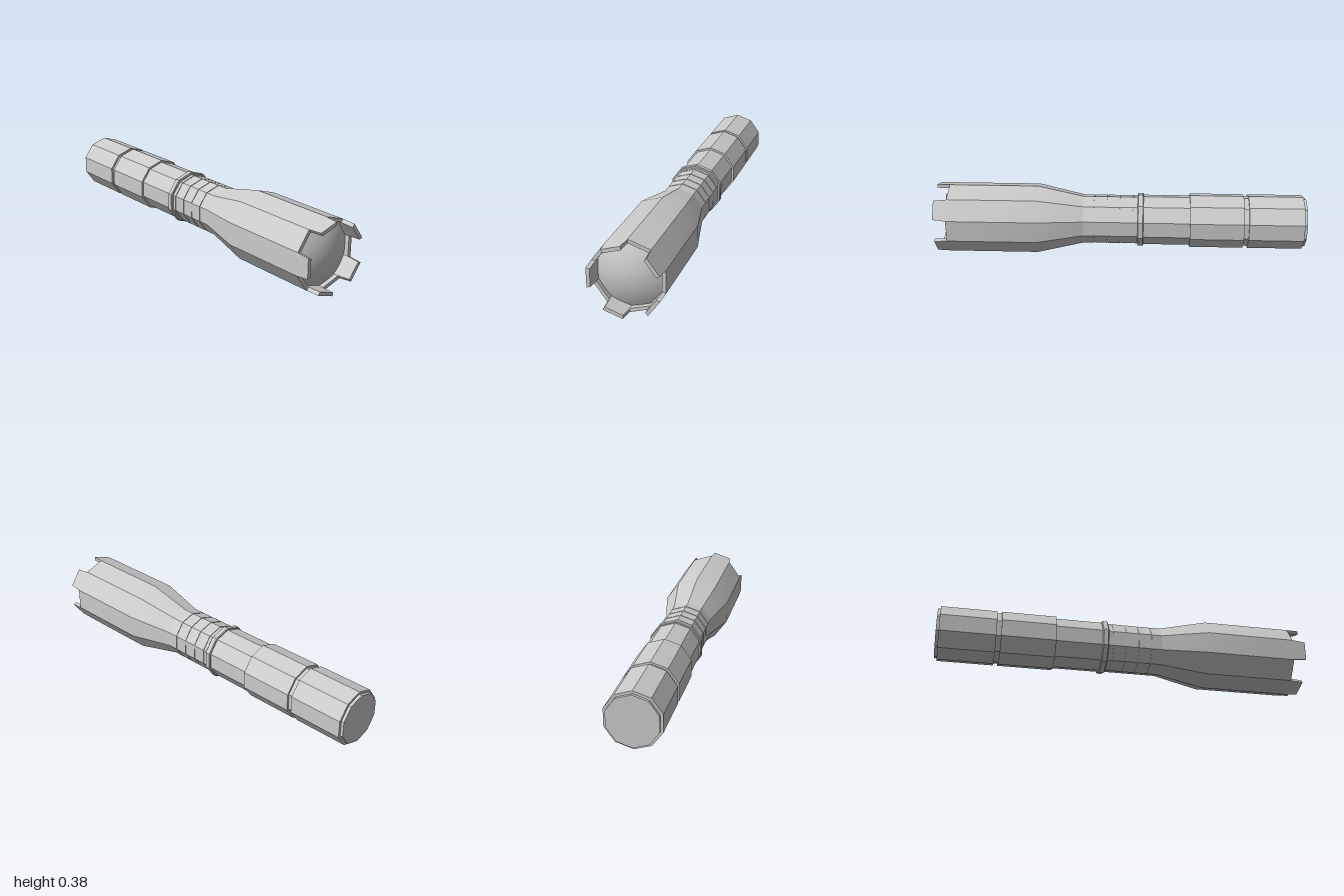
import * as THREE from 'three';
import { toCreasedNormals } from 'three/addons/utils/BufferGeometryUtils.js';
import { ConvexGeometry } from 'three/addons/geometries/ConvexGeometry.js';

const SIDES = 10;
const HEAD_R = 0.191, BORE_R = 0.171, RIM_Z = 0.93;
const material = new THREE.MeshStandardMaterial({ color: 0xcccccc });

// Revolves [radius, z] points, listed from back to front, around the z axis.
function turned(name, profile, sides = SIDES) {
  const points = profile.map(([r, z]) => new THREE.Vector2(r, z));
  let geometry = new THREE.LatheGeometry(points, sides);
  geometry.rotateX(Math.PI / 2);
  if (sides === SIDES) geometry = toCreasedNormals(geometry, 0.5);
  const mesh = new THREE.Mesh(geometry, material);
  mesh.name = name;
  return mesh;
}

// One tooth standing on a flat of the head rim, narrowing a little to its tip.
function bezelTooth(angle) {
  const half = Math.PI / SIDES;
  const corner = (r, side) => new THREE.Vector3(
    r * Math.cos(angle + side * half), r * Math.sin(angle + side * half), 0);
  const points = [];
  for (const r of [HEAD_R, BORE_R]) {
    const a = corner(r, -1), b = corner(r, 1);
    for (const [z, inset] of [[RIM_Z, 0], [1, 0.06]]) {
      points.push(a.clone().lerp(b, inset).setZ(z), b.clone().lerp(a, inset).setZ(z));
    }
  }
  const mesh = new THREE.Mesh(new ConvexGeometry(points), material);
  mesh.name = 'bezelTooth';
  return mesh;
}

export function createModel() {
  const model = new THREE.Group();
  model.name = 'flashlight';
  const body = new THREE.Group();
  body.name = 'body';
  body.position.y = HEAD_R;
  model.add(body);

  // Tail cap with its end button
  body.add(turned('tailCap', [
    [0, -1], [0.134, -1], [0.134, -0.985], [0.148, -0.985], [0.148, -0.69], [0.137, -0.69],
  ]));

  // Grip sleeve and barrel
  body.add(turned('gripSleeve', [
    [0.137, -0.69], [0.137, -0.665], [0.148, -0.665], [0.148, -0.375], [0.137, -0.375],
  ]));
  body.add(turned('barrel', [[0.137, -0.375], [0.137, -0.125]]));

  // Raised collar
  body.add(turned('collar', [
    [0.137, -0.125], [0.143, -0.125], [0.147, -0.121],
    [0.147, -0.097], [0.143, -0.093], [0.134, -0.093],
  ]));

  // Neck with fine grooves
  const neck = [[0.134, -0.093]];
  for (const z of [-0.07, 0, 0.07, 0.14]) {
    neck.push([0.134, z - 0.003], [0.131, z - 0.003], [0.131, z + 0.003], [0.134, z + 0.003]);
  }
  neck.push([0.134, 0.2]);
  body.add(turned('neck', neck));

  // Flared head with rim and inner wall
  body.add(turned('head', [
    [0.134, 0.2], [HEAD_R, 0.45], [HEAD_R, RIM_Z], [BORE_R, RIM_Z], [BORE_R, 0.88],
  ]));

  // Domed lens
  const lens = [];
  for (let i = 0; i <= 10; i++) {
    const r = 0.174 * (1 - i / 10);
    lens.push([r, 0.95 - 0.05 * (r / 0.174) ** 2]);
  }
  body.add(turned('lens', lens, 40));

  // Five teeth on alternate flats
  for (let i = 0; i < 5; i++) body.add(bezelTooth(Math.PI * (0.2 + 0.4 * i)));

  return model;
}
